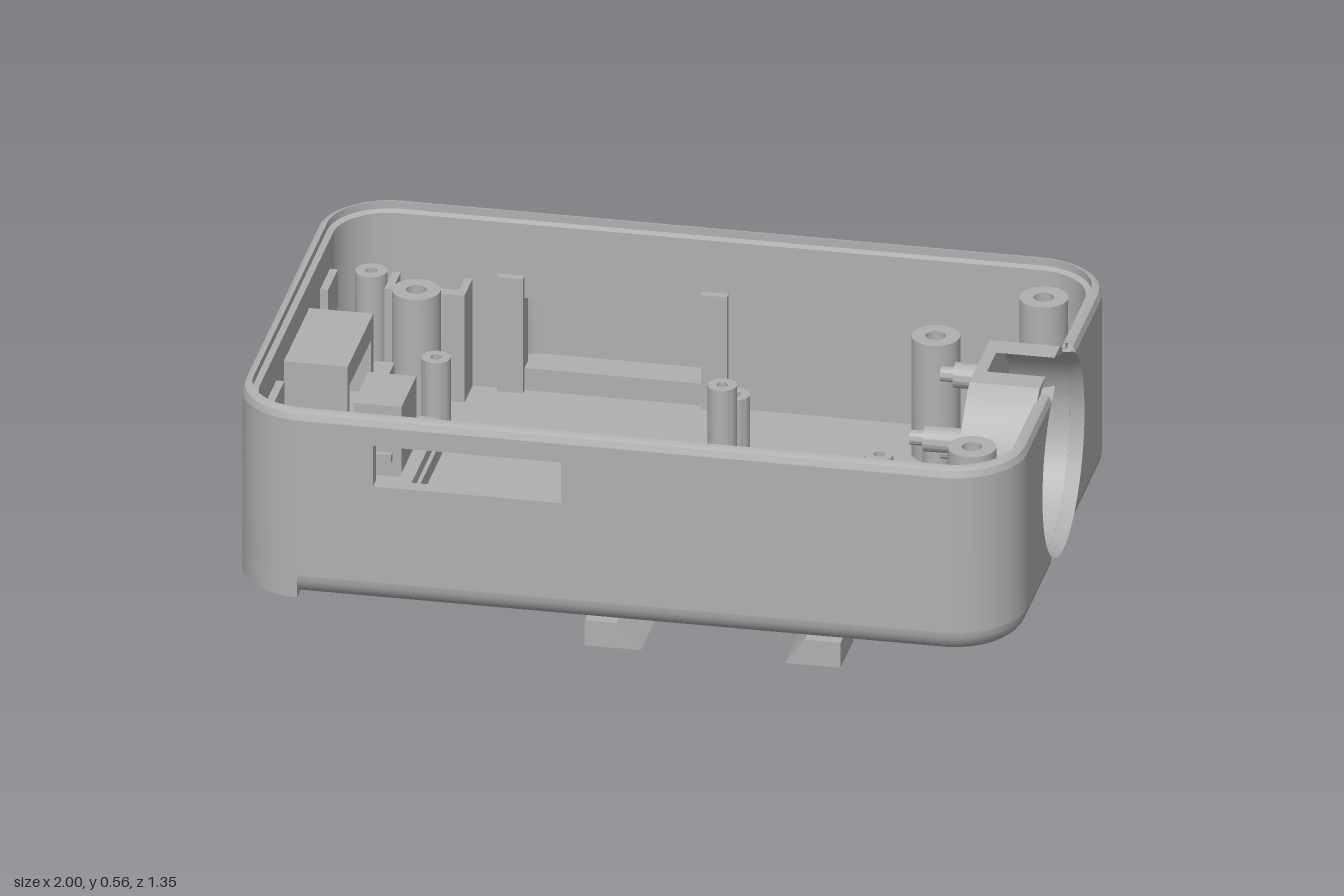
import * as THREE from 'three';
import { toCreasedNormals } from 'three/addons/utils/BufferGeometryUtils.js';
import { ConvexGeometry } from 'three/addons/geometries/ConvexGeometry.js';

const X0 = -0.96, X1 = 1, Z0 = -0.58, Z1 = 0.67, R = 0.18, T = 0.04;
const CZ = 0.05, CY = 0.33, CR = 0.255, GAP = 0.145; // round socket in the +x wall

export function createModel() {
  const model = new THREE.Group();
  const grey = new THREE.MeshStandardMaterial({ color: 0xb0b0b0, side: THREE.DoubleSide });
  grey.name = 'grey plastic';

  const add = (name, geo) => {
    const m = new THREE.Mesh(geo, grey);
    m.name = name;
    model.add(m);
    return m;
  };
  const extrude = (shape, depth) => toCreasedNormals(
    new THREE.ExtrudeGeometry(shape, { depth, bevelEnabled: false, curveSegments: 20 }), 0.5);
  // shape in (x, z), (-z, y) or (x, y), pushed along y, x or z
  const alongY = (name, s, y0, y1) => add(name, extrude(s, y1 - y0).rotateX(Math.PI / 2).translate(0, y1, 0));
  const alongX = (name, s, x0, x1) => add(name, extrude(s, x1 - x0).rotateY(Math.PI / 2).translate(x0, 0, 0));
  const alongZ = (name, s, z0, z1) => add(name, extrude(s, z1 - z0).translate(0, 0, z0));
  const box = (name, x0, x1, y0, y1, z0, z1) => add(name,
    new THREE.BoxGeometry(x1 - x0, y1 - y0, z1 - z0).translate((x0 + x1) / 2, (y0 + y1) / 2, (z0 + z1) / 2));
  const poly = (...p) => new THREE.Shape(p.map(([a, b]) => new THREE.Vector2(a, b)));
  const rect = (a0, a1, b0, b1) => poly([a0, b0], [a1, b0], [a1, b1], [a0, b1]);
  const circle = (a, b, r) => new THREE.Shape().absarc(a, b, r, 0, Math.PI * 2);
  const rounded = (a0, a1, b0, b1, r) => new THREE.Shape()
    .absarc(a1 - r, b1 - r, r, 0, Math.PI / 2).absarc(a0 + r, b1 - r, r, Math.PI / 2, Math.PI)
    .absarc(a0 + r, b0 + r, r, Math.PI, Math.PI * 1.5).absarc(a1 - r, b0 + r, r, Math.PI * 1.5, Math.PI * 2);
  const cut = (shape, ...holes) => { shape.holes.push(...holes); return shape; };
  const tube = (name, x, z, r, hole, y0, y1) => alongY(name, cut(circle(x, z, r), circle(x, z, hole)), y0, y1);

  // outline of the case, inset by d, starting and ending at the socket gap
  const corners = [[X1 - R, Z1 - R], [X0 + R, Z1 - R], [X0 + R, Z0 + R], [X1 - R, Z0 + R]];
  const outline = d => {
    const pts = [[X1 - d, CZ + GAP]];
    corners.forEach(([x, z], i) => {
      for (let k = 0; k <= 12; k++) {
        const a = (i + k / 12) * Math.PI / 2;
        pts.push([x + (R - d) * Math.cos(a), z + (R - d) * Math.sin(a)]);
      }
    });
    pts.push([X1 - d, CZ - GAP]);
    return pts;
  };
  // sweep a profile of [inset, y] round the case
  const sweep = (name, profile) => {
    const pos = [], idx = [];
    profile.forEach(([d, y]) => outline(d).forEach(([x, z]) => pos.push(x, y, z)));
    const n = pos.length / 3 / profile.length;
    for (let j = 0; j < profile.length - 1; j++) for (let i = 0; i < n - 1; i++) {
      const a = j * n + i, b = a + n;
      idx.push(a, a + 1, b, a + 1, b + 1, b);
    }
    const g = new THREE.BufferGeometry();
    g.setAttribute('position', new THREE.Float32BufferAttribute(pos, 3));
    g.setIndex(idx);
    add(name, toCreasedNormals(g, 0.6));
  };

  // rim and rounded lower edge
  sweep('rim', [[T, 0.54], [0.025, 0.545], [0.025, 0.565], [0.02, 0.565], [0.006, 0.557], [0, 0.54]]);
  const bend = [];
  for (let k = 0; k <= 6; k++) {
    const a = k / 6 * Math.PI / 2;
    bend.push([0.06 - 0.06 * Math.cos(a), 0.12 - 0.06 * Math.sin(a)]);
  }
  sweep('lowerEdge', bend);
  sweep('innerLowerEdge', [[0.06, 0.09], [T, 0.09], [T, 0.12]]);

  // floor with screw holes and vent slits
  const screws = [];
  for (const z of [-0.39, 0.48]) for (const [x, h] of [[-0.71, 0.41], [0.59, 0.41], [0.86, 0.54]]) screws.push([x, z, h]);
  const floor = poly(...outline(0.06));
  screws.forEach(([x, z]) => cut(floor, circle(x, z, 0.025)));
  cut(floor, circle(0.245, 0.48, 0.035));
  for (let i = 0; i < 5; i++) cut(floor, rect(-0.83, -0.67, -0.1 + i * 0.07, -0.08 + i * 0.07));
  alongY('floor', floor, 0.06, 0.09);
  const leftPart = d => outline(d).filter(p => p[0] < -0.79);
  alongY('squareLowerEnd', poly([-0.79, Z1], ...leftPart(0), [-0.79, Z0], [-0.79, Z0 + 0.06],
    ...leftPart(0.06).reverse(), [-0.79, Z1 - 0.06]), 0.06, 0.12);
  box('socketSill', 0.92, 0.975, 0.06, 0.085, CZ - GAP, CZ + GAP);

  // walls
  corners.forEach(([x, z], i) => {
    const a = i * Math.PI / 2, b = a + Math.PI / 2;
    alongY('cornerWall', new THREE.Shape().absarc(x, z, R, a, b, false).absarc(x, z, R - T, b, a, true), 0.12, 0.54);
  });
  alongZ('frontWall', cut(rect(X0 + R, X1 - R, 0.12, 0.54), rect(-0.6, -0.13, 0.38, 0.49)), Z1 - T, Z1);
  alongZ('backWall', cut(rect(X0 + R, X1 - R, 0.12, 0.54), rect(-0.47, -0.02, 0.15, 0.34),
    rounded(-0.77, -0.69, 0.19, 0.32, 0.035)), Z0, Z0 + T);
  alongX('leftWall', cut(rect(-Z1 + R, -Z0 - R, 0.12, 0.54), rounded(-0.18, 0.08, 0.27, 0.41, 0.02)), X0, X0 + T);
  const th = Math.asin(0.21 / CR);
  alongX('rightWall', new THREE.Shape().moveTo(-Z1 + R, 0.12).lineTo(-CZ - GAP, 0.12)
    .absarc(-CZ, CY, CR, Math.PI + th, Math.PI - th, true).lineTo(-Z1 + R, 0.54), X1 - T, X1);
  alongX('rightWall', new THREE.Shape().moveTo(-Z0 - R, 0.12).lineTo(-CZ + GAP, 0.12)
    .absarc(-CZ, CY, CR, -th, th, false).lineTo(-Z0 - R, 0.54), X1 - T, X1);

  // round socket, cut flat at the rim
  const ro = 0.265, ri = 0.2413, ao = Math.asin(0.235 / ro), ai = Math.asin(0.235 / ri);
  alongX('socketRing', new THREE.Shape().absarc(-CZ, CY, ro, ao, Math.PI - ao, true)
    .absarc(-CZ, CY, ri, -Math.PI - ai, ai, false), 0.82, 0.966);
  alongX('socketBack', cut(new THREE.Shape().absarc(-CZ, CY, ro, ao, Math.PI - ao, true), circle(-CZ, CY, 0.09)), 0.79, 0.82);
  add('socketBevel', new THREE.CylinderGeometry(CR, ri, 0.035, 48, 1, true, Math.PI * 1.5 + 0.4, Math.PI * 2 - 0.8)
    .rotateZ(-Math.PI / 2).translate(0.9825, CY, CZ));
  for (const z of [-0.14, 0.23]) for (const y of [0.22, 0.43]) {
    alongX('socketPin', circle(-z, y, 0.032), 0.69, 0.79);
    alongX('socketPinTip', circle(-z, y, 0.019), 0.655, 0.69);
  }

  // posts and ribs on the floor
  screws.forEach(([x, z, h]) => tube('screwPost', x, z, 0.06, 0.025, 0.08, h));
  for (const [x, z, h] of [[0.59, 0.3, 0.41], [0.13, -0.03, 0.4], [0.13, -0.19, 0.3], [-0.64, -0.29, 0.28],
    [-0.86, -0.28, 0.28], [0.61, -0.31, 0.15]]) tube('smallPost', x, z, 0.036, 0.014, 0.08, h);
  box('postWeb', 0.105, 0.15, 0.09, 0.25, -0.1, -0.03);
  box('longRib', 0.105, 0.12, 0.09, 0.12, -0.32, 0.4);
  for (const x of [0.24, 0.385]) box('floorBar', x, x + 0.05, 0.09, 0.12, 0.04, 0.25);
  for (const z of [-0.26, 0.26]) alongY('floorPad', rounded(-0.455, -0.045, z, z + 0.1, 0.035), 0.085, 0.096);
  alongY('nutHolder', cut(circle(0.245, 0.48, 0.09), new THREE.Shape(Array.from({ length: 6 }, (_, i) =>
    new THREE.Vector2(0.245 + 0.06 * Math.cos(i * Math.PI / 3), 0.48 + 0.06 * Math.sin(i * Math.PI / 3))))), 0.08, 0.17);
  box('cablePlate', 0.335, 0.365, 0.09, 0.24, 0.39, 0.52);
  box('cablePlate', 0.365, 0.43, 0.09, 0.19, 0.39, 0.41);
  box('cablePlate', 0.365, 0.43, 0.09, 0.19, 0.5, 0.52);

  // connector block and its tray behind the left wall
  alongX('connectorSleeve', cut(rect(-0.2, 0.11, 0.22, 0.47), rect(-0.18, 0.08, 0.27, 0.41)), -0.93, -0.76);
  box('connectorFoot', -0.92, -0.76, 0.13, 0.22, -0.11, 0.2);
  box('connectorBlock', -0.76, -0.64, 0.15, 0.34, -0.05, 0.13);
  for (const z of [-0.07, 0.15]) box('connectorPin', -0.76, -0.66, 0.2, 0.22, z - 0.007, z + 0.007);
  alongY('connectorTray', cut(rounded(-0.93, -0.605, -0.2, 0.31, 0.03), rect(-0.89, -0.64, -0.16, 0.27)), 0.09, 0.16);
  box('trayRib', -0.61, -0.595, 0.09, 0.13, -0.23, 0.4);
  box('trayStop', -0.86, -0.77, 0.09, 0.2, 0.28, 0.37);
  for (const z of [-0.3, 0.35]) box('wallCatch', -0.925, -0.9, 0.36, 0.46, z - 0.06, z + 0.06);
  box('cornerBlock', -0.9, -0.75, 0.09, 0.24, -0.32, -0.24);

  // switch bracket behind the back wall slot
  alongZ('switchBracket', cut(rect(-0.8, -0.6, 0.09, 0.38), rounded(-0.77, -0.69, 0.19, 0.32, 0.035)), -0.47, -0.44);
  for (const x of [-0.8, -0.62]) box('switchBracketSide', x, x + 0.02, 0.09, 0.38, -0.545, -0.46);
  tube('cornerPost', -0.84, -0.475, 0.04, 0.015, 0.08, 0.41);

  // hollow pouch on the back
  const pouch = (x0, x1, z, r) => [[x0, -0.575], ...Array.from({ length: 7 }, (_, k) => {
    const a = k / 6 * Math.PI / 2;
    return [x0 + r - r * Math.cos(a), z + r - r * Math.sin(a)];
  }), ...Array.from({ length: 7 }, (_, k) => {
    const a = k / 6 * Math.PI / 2;
    return [x1 - r + r * Math.sin(a), z + r - r * Math.cos(a)];
  }), [x1, -0.575]];
  alongY('pouchWall', poly(...pouch(-0.535, 0.04, -0.675, 0.08), ...pouch(-0.5, 0.005, -0.65, 0.05).reverse()), 0.14, 0.345);
  alongY('pouchBottom', poly(...pouch(-0.535, 0.04, -0.675, 0.08)), 0.12, 0.14);
  alongY('pouchTop', poly(...pouch(-0.535, 0.04, -0.675, 0.08)), 0.345, 0.357);
  alongY('pouchTopEdge', poly(...pouch(-0.527, 0.032, -0.667, 0.075)), 0.357, 0.365);
  for (const x of [-0.535, -0.025]) box('pouchCatch', x, x + 0.065, 0.09, 0.4, -0.545, -0.52);

  // bevelled boss on the left end
  const boss = [];
  for (const [x, y0, y1, z0, z1] of [[-0.94, 0.065, 0.28, -0.28, 0.36], [-1, 0.13, 0.24, -0.24, 0.32]])
    for (const y of [y0, y1]) for (const z of [z0, z1]) boss.push(new THREE.Vector3(x, y, z));
  add('endBoss', new ConvexGeometry(boss));

  // dovetail slide under the floor
  const slideBar = new THREE.Shape().moveTo(-0.07, -0.02).lineTo(-0.07, -0.08).absarc(0, -0.08, 0.07, Math.PI, Math.PI * 1.5)
    .absarc(0.5, -0.08, 0.07, Math.PI * 1.5, Math.PI * 2).lineTo(0.57, -0.02);
  alongY('slideBar', slideBar, 0, 0.065);
  alongZ('slideRail', poly([-0.07, 0], [0.07, 0], [0.01, 0.068], [-0.07, 0.068]), -0.02, Z1);
  for (const [z0, z1, x] of [[-0.02, 0.45, 0.57], [0.45, 0.52, 0.53], [0.52, Z1, 0.57]])
    alongZ('slideRail', poly([0.43, 0], [x, 0], [x, 0.068], [0.48, 0.068]), z0, z1);

  return model;
}
